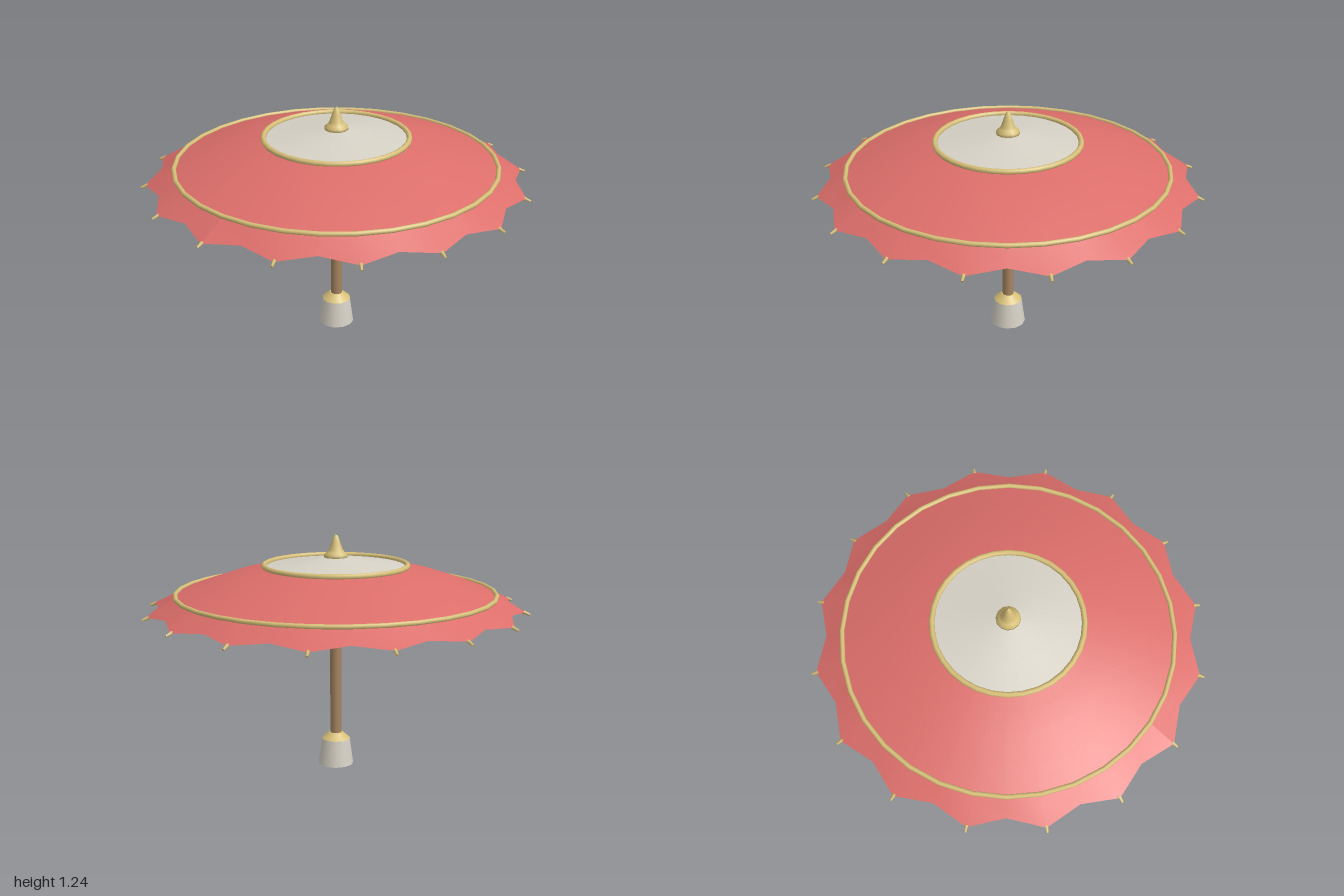
import * as THREE from 'three';

const RIBS = 16;

const mat = (name, color, side = THREE.FrontSide) => {
  const m = new THREE.MeshStandardMaterial({ color, side });
  m.name = name;
  return m;
};

// Lathe from [radius, height] pairs, listed from the bottom up
const lathe = (pts, segments) =>
  new THREE.LatheGeometry(pts.map(([r, y]) => new THREE.Vector2(r, y)), segments);

// Straight rod between two points
function rod(a, b, ra, rb, sides = 6) {
  const dir = b.clone().sub(a);
  const g = new THREE.CylinderGeometry(rb, ra, dir.length(), sides);
  g.applyQuaternion(new THREE.Quaternion().setFromUnitVectors(new THREE.Vector3(0, 1, 0), dir.normalize()));
  const c = a.clone().add(b).multiplyScalar(0.5);
  return g.translate(c.x, c.y, c.z);
}

export function createModel() {
  const model = new THREE.Group();
  model.name = 'parasol';
  const red = mat('red fabric', 0xdc6e6a, THREE.DoubleSide);
  const cream = mat('cream fabric', 0xd6d1c5, THREE.DoubleSide);
  const gold = mat('gold trim', 0xd6bf78);
  const wood = mat('wood', 0xa58460);
  const ribWood = mat('rib wood', 0x8c7452);

  const add = (name, geometry, material, parent = model) => {
    const mesh = new THREE.Mesh(geometry, material);
    mesh.name = name;
    parent.add(mesh);
    return mesh;
  };

  // Canopy dome and cream crown
  add('canopy', lathe([[0.83, 0.932], [0.7, 0.98], [0.55, 1.03], [0.45, 1.055], [0.365, 1.075]], RIBS * 2), red);
  add('crown', lathe([[0.365, 1.075], [0.22, 1.095], [0.1, 1.116], [0, 1.128]], RIBS * 2), cream);

  // Valance: hem is pulled in and up between the ribs
  const valance = lathe([[0.978, 0.856], [0.9, 0.895], [0.83, 0.932]], RIBS * 2);
  const p = valance.attributes.position;
  for (let i = 0; i <= RIBS * 2; i++) {
    if (i % 2 === 0) continue;
    const a = (i / (RIBS * 2)) * Math.PI * 2;
    [[0.918, 0.872], [0.875, 0.9]].forEach(([r, y], j) => p.setXYZ(i * 3 + j, Math.sin(a) * r, y, Math.cos(a) * r));
  }
  valance.computeVertexNormals();
  add('valance', valance, red);

  // Trim rings
  const ring = (name, r, tube, y) =>
    add(name, new THREE.TorusGeometry(r, tube, 8, RIBS * 2).rotateX(Math.PI / 2).translate(0, y, 0), gold);
  ring('outerRing', 0.83, 0.012, 0.936);
  ring('crownRing', 0.372, 0.014, 1.08);

  // Finial
  add('finial', lathe([[0, 1.115], [0.062, 1.115], [0.06, 1.135], [0.045, 1.148], [0.036, 1.16],
    [0.024, 1.195], [0.012, 1.23], [0, 1.24]], 12), gold);

  // Pole, sliding runner and top hub
  add('pole', new THREE.CylinderGeometry(0.03, 0.03, 0.94, 12).translate(0, 0.64, 0), wood);
  add('runnerCollar', new THREE.CylinderGeometry(0.062, 0.062, 0.035, 16).translate(0, 0.763, 0), gold);
  add('runnerSleeve', new THREE.CylinderGeometry(0.033, 0.037, 0.085, 12).translate(0, 0.82, 0), gold);
  add('topHub', new THREE.CylinderGeometry(0.05, 0.05, 0.03, 12).translate(0, 1.085, 0), ribWood);

  // Handle
  const handle = new THREE.CylinderGeometry(0.075, 0.094, 0.14, 12).translate(0, 0.07, 0);
  add('handle', handle, cream);
  add('handleCollar', new THREE.CylinderGeometry(0.036, 0.076, 0.034, 12).translate(0, 0.157, 0), gold);

  // Ribs, struts, strut joints and tips, repeated around the pole
  const v = (r, y) => new THREE.Vector3(0, y, r);
  const ribPath = [v(0.03, 1.095), v(0.36, 1.058), v(0.55, 1.017), v(0.83, 0.919), v(0.975, 0.851)];
  const ribParts = ribPath.slice(1).map((b, i) => rod(ribPath[i], b, 0.006, 0.006));
  const strut = rod(v(0.05, 0.78), v(0.52, 1.018), 0.006, 0.006);
  const joint = rod(v(0.052, 0.775), v(0.052, 0.8), 0.009, 0.009);
  const tip = rod(v(0.965, 0.857), v(1, 0.843), 0.01, 0.006);
  for (let i = 0; i < RIBS; i++) {
    const arm = new THREE.Group();
    arm.name = 'arm';
    arm.rotation.y = (i / RIBS) * Math.PI * 2;
    ribParts.forEach((g) => add('rib', g, ribWood, arm));
    add('strut', strut, ribWood, arm);
    add('strutJoint', joint, gold, arm);
    add('ribTip', tip, gold, arm);
    model.add(arm);
  }
  return model;
}
